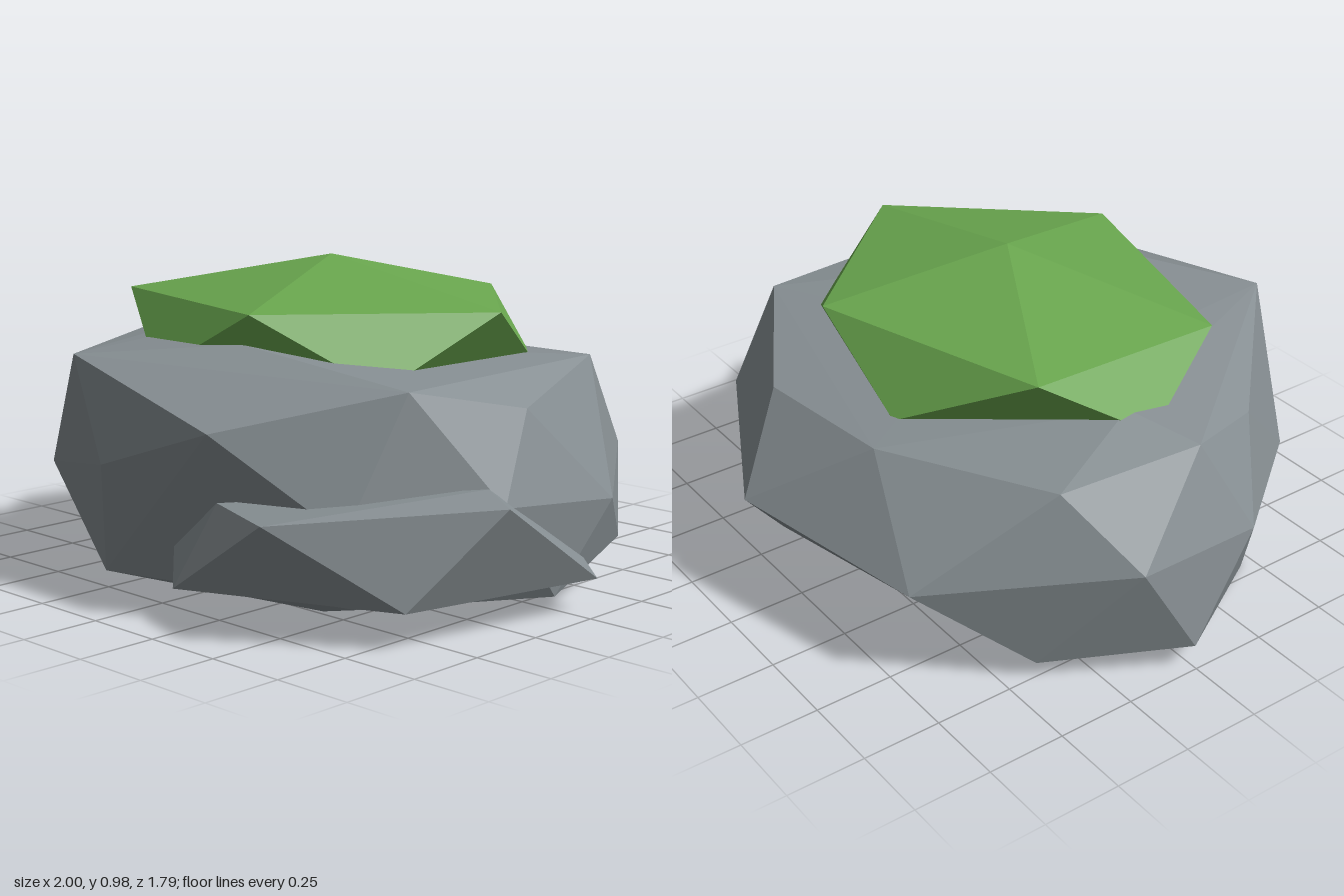
import * as THREE from 'three';
import { ConvexGeometry } from 'three/addons/geometries/ConvexGeometry.js';

const stone = new THREE.MeshStandardMaterial({ color: 0x868e92 });
stone.name = 'grey stone';
const moss = new THREE.MeshStandardMaterial({ color: 0x69a64e });
moss.name = 'green moss';

// Faceted block spanned by its corner points; the hull has flat faces.
function block(name, material, corners) {
  const points = corners.map(([x, y, z]) => new THREE.Vector3(x, y, z));
  const mesh = new THREE.Mesh(new ConvexGeometry(points), material);
  mesh.name = name;
  return mesh;
}

export function createModel() {
  const model = new THREE.Group();
  model.name = 'mossyRock';

  // Large boulder, in rings from the ground up
  const ground = [
    [-0.7, 0, 0.45], [-0.35, 0, -0.4], [0.3, 0, -0.45],
    [0.5, 0, -0.2], [0.4, 0, 0.48],
  ];
  const low = [
    [-1, 0.09, -0.01], [-0.76, 0.06, -0.41], [0.29, 0.04, -0.64], [0.83, 0.15, -0.36],
    [0.87, 0.04, 0], [0.6, 0.06, 0.55], [-0.26, 0.05, 0.75],
  ];
  const middle = [
    [-0.96, 0.39, 0.23], [-0.97, 0.4, -0.19], [-0.6, 0.35, -0.74], [0.04, 0.39, -0.9],
    [0.66, 0.39, -0.58], [0.9, 0.3, -0.23], [0.92, 0.36, 0.29], [0.66, 0.3, 0.66],
    [-0.11, 0.42, 0.88], [-0.6, 0.33, 0.68],
  ];
  const shoulder = [
    [-0.85, 0.67, 0.1], [-0.78, 0.64, -0.35], [-0.28, 0.64, -0.64], [0.2, 0.63, -0.69],
    [0.67, 0.685, -0.41], [0.82, 0.6, 0.08], [0.73, 0.685, 0.48], [0.34, 0.57, 0.87],
    [-0.29, 0.72, 0.83], [-0.73, 0.61, 0.4],
  ];
  const crown = [[0.13, 0.76, 0.54], [-0.64, 0.72, 0], [-0.35, 0.735, 0.4], [0, 0.72, -0.1]];
  model.add(block('boulder', stone, [...ground, ...low, ...middle, ...shoulder, ...crown]));

  // Low slab leaning on the front corner
  model.add(block('sideSlab', stone, [
    [1, 0.385, 0.37], [0.57, 0.355, 0.89], [0.3, 0.36, 0.8], [0.08, 0.19, 0.77],
    [0.2, 0.11, 0.88], [0.84, 0.11, 0.61], [0.97, 0.1, -0.07], [0.91, 0.15, -0.08],
    [0.9, 0.42, 0.34], [0.13, 0.1, 0.75], [0.45, 0.07, 0.6],
  ]));

  // Moss cushion: a flattened twenty-sided lump sunk into the boulder
  model.add(block('mossCap', moss, [
    [0, 0.98, 0.04],
    [0.67, 0.855, 0.02], [0.19, 0.855, 0.57], [-0.59, 0.855, 0.36],
    [-0.57, 0.855, -0.27], [0.19, 0.855, -0.51],
    [-0.7, 0.65, 0.05], [-0.2, 0.65, -0.52], [0.53, 0.65, -0.32],
    [0.53, 0.65, 0.37], [-0.2, 0.65, 0.59],
    [0, 0.53, 0.04],
  ]));

  return model;
}
